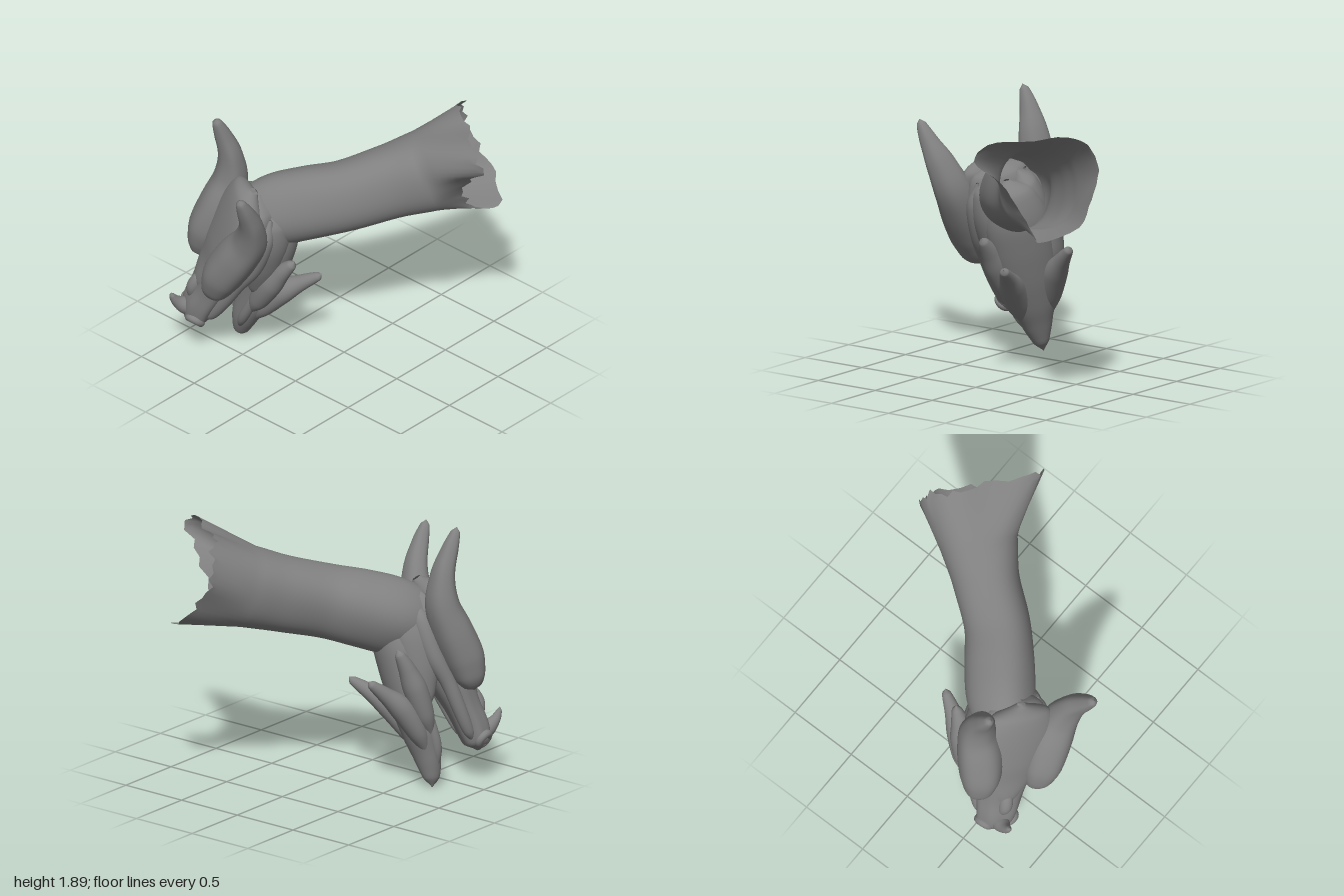
import * as THREE from 'three';

const V = (x, y, z) => new THREE.Vector3(x, y, z);
const SEG = 48;
const material = new THREE.MeshStandardMaterial({ color: 0x808080, side: THREE.DoubleSide });

// Rings of an elliptical tube through rows of [x, y, z, halfWidth, halfHeight]
function loftRings(rows, side, shape) {
  const path = new THREE.CatmullRomCurve3(rows.map(r => V(r[0], r[1], r[2])));
  const size = new THREE.CatmullRomCurve3(rows.map(r => V(r[3], r[4] ?? r[3], 0)), false, 'catmullrom', 0.4);
  const rings = [], steps = 40;
  for (let i = 0; i <= steps; i++) {
    const u = i / steps;
    const c = path.getPoint(u), s = size.getPoint(u), t = path.getTangent(u);
    const a = side.clone().addScaledVector(t, -side.dot(t)).normalize();
    const b = a.clone().cross(t);
    rings.push(Array.from({ length: SEG }, (_, j) => {
      const th = j / SEG * Math.PI * 2, k = shape ? shape(u, th) : 1;
      return c.clone()
        .addScaledVector(a, Math.max(s.x, 0.001) * Math.cos(th) * k)
        .addScaledVector(b, Math.max(s.y, 0.001) * Math.sin(th) * k);
    }));
  }
  return rings;
}

// Smooth skin over a stack of rings
function skin(name, rings) {
  const pos = [], index = [], n = rings[0].length;
  rings.forEach(r => r.forEach(p => pos.push(p.x, p.y, p.z)));
  for (let i = 0; i < rings.length - 1; i++) {
    for (let j = 0; j < n; j++) {
      const a = i * n + j, b = i * n + (j + 1) % n;
      index.push(a, a + n, b, b, a + n, b + n);
    }
  }
  const g = new THREE.BufferGeometry();
  g.setAttribute('position', new THREE.Float32BufferAttribute(pos, 3));
  g.setIndex(index);
  g.computeVertexNormals();
  const mesh = new THREE.Mesh(g, material);
  mesh.name = name;
  return mesh;
}

const loft = (name, rows, shape) => skin(name, loftRings(rows, V(1, 0, 0), shape));

// Neck: flaring tube that ends in a torn rim
function buildNeck() {
  const rings = loftRings([
    [-0.52, 1.07, 0.51, 0.08, 0.10],
    [-0.45, 1.12, 0.44, 0.20, 0.23],
    [-0.34, 1.19, 0.31, 0.24, 0.27],
    [-0.18, 1.25, 0.17, 0.245, 0.27],
    [0.01, 1.31, 0.0, 0.235, 0.26],
    [0.20, 1.39, -0.25, 0.24, 0.27],
    [0.36, 1.46, -0.44, 0.28, 0.29],
  ], V(0.73, 0, 0.69), (u, th) => 1 + 0.025 * Math.cos(4 * th + 3 * u));
  const rim = new THREE.CatmullRomCurve3([
    V(0.79, 1.58, -0.44), V(0.99, 1.76, -0.36), V(0.87, 1.86, -0.39), V(0.62, 1.87, -0.60),
    V(0.42, 1.88, -0.72), V(0.34, 1.83, -0.86), V(0.29, 1.65, -0.92), V(0.40, 1.46, -0.94),
    V(0.55, 1.29, -0.95), V(0.76, 1.19, -0.76), V(0.66, 1.19, -0.65), V(0.65, 1.34, -0.52),
  ], true);
  const last = rings[rings.length - 1];
  for (let i = 1; i <= 8; i++) {
    const u = i / 8;
    rings.push(last.map((p, j) => {
      const q = p.clone().lerp(rim.getPoint(j / SEG), u);
      const tear = 0.03 * Math.sin(j * 2.3) * Math.sin(j * 0.7) * u ** 4;
      return q.add(V(0.69 * tear, 0.2 * tear, -0.73 * tear));
    }));
  }
  return skin('neck', rings);
}

// Head, built in its own frame: x sideways, y to the forehead, z to the snout
function buildHead() {
  const head = new THREE.Group();
  head.name = 'head';
  const add = (name, rows, shape) => head.add(loft(name, rows, shape));

  add('skull', [
    [0, 0.05, -0.40, 0.02, 0.02],
    [0, 0.04, -0.32, 0.19, 0.14],
    [0, 0.03, -0.12, 0.26, 0.20],
    [0, 0.05, 0.12, 0.25, 0.19],
    [0, 0.08, 0.35, 0.21, 0.15],
    [0, 0.10, 0.55, 0.17, 0.12],
    [0, 0.115, 0.70, 0.15, 0.115],
    [0, 0.11, 0.82, 0.125, 0.09],
    [0, 0.10, 0.875, 0.01, 0.01],
  ], (u, th) => 1 + 0.03 * Math.cos(6 * th));
  add('forehead', [
    [0, 0.09, -0.42, 0.03, 0.03], [0, 0.11, -0.34, 0.22, 0.09], [0, 0.12, -0.15, 0.29, 0.11],
    [0, 0.13, 0.10, 0.26, 0.11], [0, 0.14, 0.30, 0.20, 0.09], [0, 0.15, 0.48, 0.11, 0.08], [0, 0.15, 0.62, 0.01, 0.02],
  ]);
  add('noseBump', [
    [0, 0.19, 0.42, 0.01], [0, 0.20, 0.48, 0.045], [0, 0.21, 0.56, 0.05], [0, 0.19, 0.63, 0.04], [0, 0.17, 0.68, 0.01],
  ]);
  add('noseHorn', [
    [0, 0.14, 0.77, 0.07], [0, 0.22, 0.75, 0.06], [0, 0.29, 0.715, 0.037],
    [0, 0.335, 0.67, 0.02], [0, 0.35, 0.645, 0.001],
  ]);
  add('lowerJaw', [
    [0, -0.14, -0.34, 0.02, 0.02],
    [0, -0.16, -0.24, 0.17, 0.13],
    [0, -0.19, -0.05, 0.23, 0.17],
    [0, -0.22, 0.15, 0.23, 0.16],
    [0, -0.25, 0.38, 0.21, 0.135],
    [0, -0.26, 0.60, 0.17, 0.115],
    [0, -0.26, 0.78, 0.115, 0.095],
    [0, -0.28, 0.93, 0.06, 0.06],
    [0, -0.30, 1.00, 0.002, 0.002],
  ]);

  for (const s of [1, -1]) {
    const paired = (name, rows, shape) => add(name, rows.map(([x, ...rest]) => [x * s, ...rest]), shape);

    // Brow that sweeps back into the horn
    paired('hornAndBrow', [
      [0.20, 0.17, 0.435, 0.005],
      [0.205, 0.17, 0.40, 0.07],
      [0.22, 0.17, 0.32, 0.115],
      [0.235, 0.17, 0.18, 0.15, 0.145],
      [0.265, 0.145, -0.02, 0.16, 0.145],
      [0.315, 0.13, -0.23, 0.135, 0.12],
      [0.352, 0.195, -0.43, 0.105, 0.085],
      [0.38, 0.295, -0.58, 0.065, 0.06],
      [0.39, 0.37, -0.68, 0.034],
      [0.39, 0.39, -0.71, 0.002],
    ], (u, th) => 1 + 0.02 * Math.cos(5 * th));
    // Ridge along the cheek and upper lip
    paired('cheekRidge', [
      [0.18, -0.03, -0.32, 0.01], [0.215, -0.03, -0.15, 0.07], [0.225, -0.03, 0.10, 0.07],
      [0.20, 0.01, 0.32, 0.055], [0.165, 0.03, 0.52, 0.05], [0.12, 0.05, 0.70, 0.04], [0.08, 0.07, 0.80, 0.005],
    ]);
    // Cheek and mouth corner, joining the jaw to the skull
    paired('cheek', [
      [0.11, -0.05, -0.34, 0.02, 0.03], [0.13, -0.06, -0.24, 0.10, 0.14], [0.15, -0.08, -0.08, 0.12, 0.17],
      [0.16, -0.12, 0.12, 0.10, 0.14], [0.15, -0.17, 0.34, 0.06, 0.08], [0.13, -0.20, 0.48, 0.01, 0.01],
    ]);
    paired('upperJawSpike', [
      [0.12, -0.21, 0.66, 0.01], [0.16, -0.22, 0.48, 0.075, 0.07], [0.20, -0.23, 0.27, 0.095, 0.085],
      [0.245, -0.25, 0.11, 0.065, 0.06], [0.28, -0.273, 0.0, 0.036], [0.29, -0.28, -0.04, 0.002],
    ]);
    paired('lowerJawSpike', [
      [0.08, -0.27, 0.78, 0.01], [0.12, -0.30, 0.58, 0.08, 0.07], [0.165, -0.36, 0.38, 0.09, 0.085],
      [0.21, -0.455, 0.23, 0.055], [0.243, -0.525, 0.13, 0.032], [0.25, -0.54, 0.10, 0.002],
    ]);
    paired('jawLip', [
      [0.16, -0.18, 0.40, 0.01], [0.14, -0.19, 0.55, 0.035], [0.10, -0.20, 0.74, 0.035], [0.04, -0.24, 0.90, 0.005],
    ]);
    // Nostril: swollen ring on the snout tip
    const nostril = new THREE.Mesh(new THREE.TorusGeometry(0.045, 0.03, 14, 28), material);
    nostril.name = 'nostril';
    nostril.position.set(0.095 * s, 0.14, 0.80);
    nostril.rotation.set(-0.45, 0.6 * s, 0);
    head.add(nostril);
  }

  // Turn the head down and to the side
  const basis = new THREE.Matrix4().makeBasis(
    V(0.8, -0.25, 0.545).normalize(), V(-0.487, 0.26, 0.834).normalize(), V(-0.36, -0.93, 0.08).normalize());
  head.quaternion.setFromRotationMatrix(basis);
  head.position.set(-0.48, 1.01, 0.48);
  return head;
}

export function createModel() {
  const model = new THREE.Group();
  model.name = 'hornedCreatureHead';
  model.add(buildNeck(), buildHead());
  return model;
}
